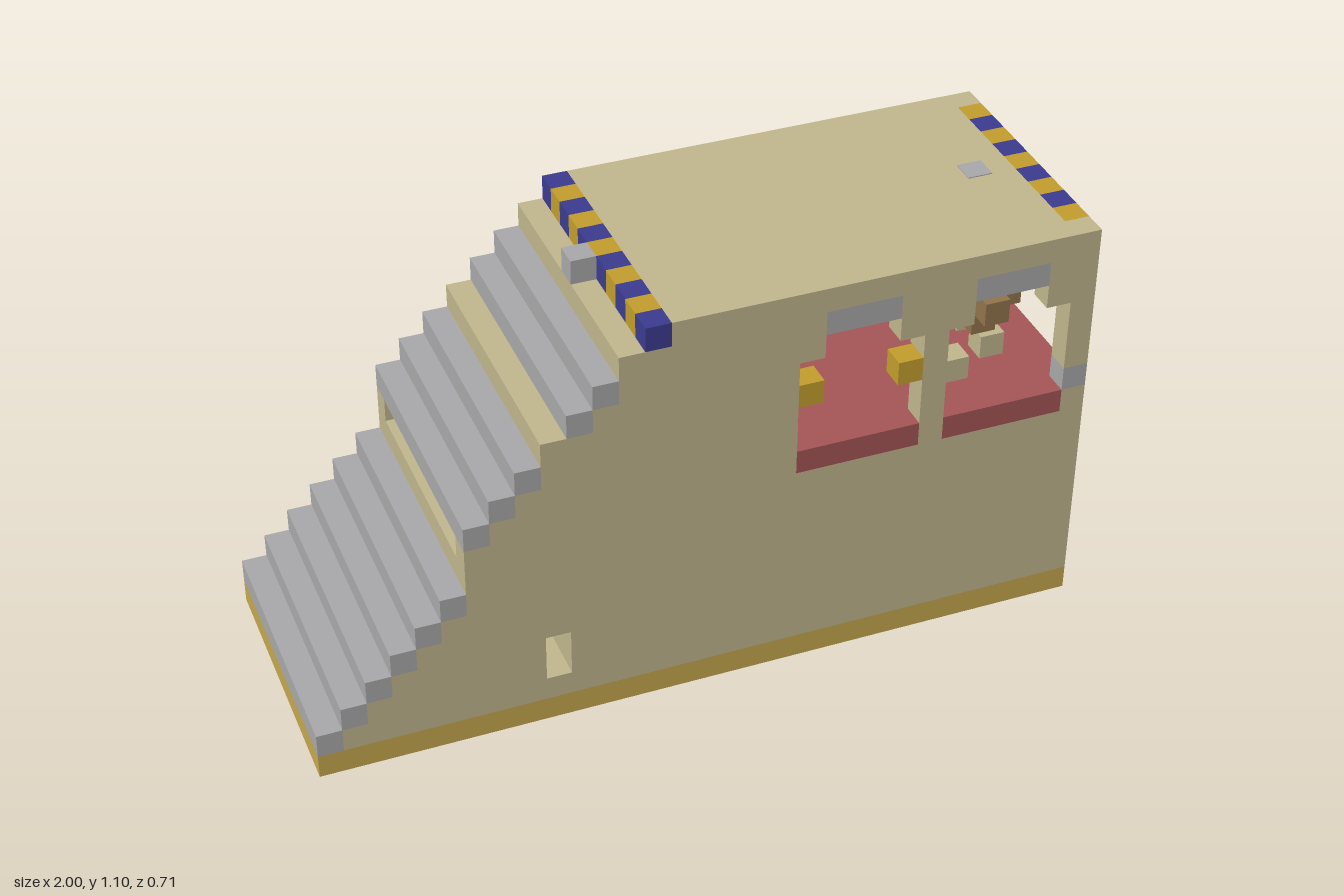
import * as THREE from 'three';

const U = 2 / 31; // one block of the 31 x 17 x 11 block grid

const mat = (name, color) => {
  const m = new THREE.MeshStandardMaterial({ color });
  m.name = name;
  return m;
};

export function createModel() {
  const model = new THREE.Group();
  model.name = 'steppedBuilding';

  const tan = mat('tan', 0xbeb48b);
  const sand = mat('sandYellow', 0xc2a54c);
  const gray = mat('gray', 0xa6a6a8);
  const gold = mat('gold', 0xc09c2c);
  const blue = mat('blue', 0x3b3a8e);
  const brown = mat('brown', 0x90724a);
  const rose = mat('dullRed', 0xa35454);
  const red = mat('brightRed', 0xab1d0e);
  const charcoal = mat('charcoal', 0x43424e);

  // Box spanning grid cells [i0,i1) x [j0,j1) x [k0,k1)
  const box = (name, m, i0, i1, j0, j1, k0 = 0, k1 = 11) => {
    const mesh = new THREE.Mesh(
      new THREE.BoxGeometry((i1 - i0) * U, (j1 - j0) * U, (k1 - k0) * U), m);
    mesh.position.set(-1 + (i0 + i1) / 2 * U, (j0 + j1) / 2 * U, ((k0 + k1) / 2 - 5.5) * U);
    mesh.name = name;
    model.add(mesh);
    return mesh;
  };
  const cell = (name, m, i, j, k) => box(name, m, i, i + 1, j, j + 1, k, k + 1);
  // Same box on the back and front wall layers
  const both = (name, m, i0, i1, j0, j1) => {
    box(name, m, i0, i1, j0, j1, 0, 1);
    box(name, m, i0, i1, j0, j1, 10, 11);
  };

  // Base course
  box('base', sand, 0, 31, 0, 1);

  // Staircase: a column of wall under each tread
  const treads = [1, 2, 3, 4, 5, 6, 9, 10, 11, 12, 13, 14, 15];
  treads.forEach((h, i) => {
    if (i === 9) { // low passage through the building
      box('stairWall', tan, i, i + 1, 1, 2);
      box('stairWall', tan, i, i + 1, 4, h);
    } else if (i === 6 || i === 7) { // slit in the riser
      box('stairWall', tan, i, i + 1, 1, 8);
      both('slitSide', tan, i, i + 1, 8, 9);
      if (h > 9) box('stairWall', tan, i, i + 1, 9, h);
    } else if (h > 1) {
      box('stairWall', tan, i, i + 1, 1, h);
    }
    box('tread', i === 9 || i === 12 ? tan : gray, i, i + 1, h, h + 1);
  });
  cell('topKnob', gray, 12, 16, 5);

  // Solid middle and striped parapet at the stair head
  box('middle', tan, 13, 14, 1, 16);
  box('middle', tan, 14, 16, 1, 16);
  for (let k = 0; k < 11; k++) cell('stairStripe', k % 2 ? gold : blue, 13, 16, k);

  // Raised nook beside the room
  box('nookFloor', tan, 16, 19, 1, 12);
  both('nookWall', tan, 16, 19, 12, 16);

  // Wall below the room, with a red band on the end
  box('lowerWall', tan, 19, 30, 1, 9);
  box('endWall', tan, 30, 31, 1, 8);
  both('endWallSide', tan, 30, 31, 8, 9);
  box('endBand', red, 30, 31, 8, 9, 1, 10);

  // Room floor and window sills
  box('roomFloor', rose, 19, 31, 9, 10, 1, 10);
  for (const i of [19, 25]) both('windowSill', rose, i, i + 5, 9, 10);

  // Wall posts
  both('windowPost', tan, 24, 25, 9, 16);
  both('cornerPost', tan, 30, 31, 9, 10);
  both('cornerPost', tan, 30, 31, 11, 16);
  cell('cornerPost', tan, 30, 10, 0);
  cell('cornerBlock', gray, 30, 10, 10);

  // Window heads with stepped corners and gray lintels
  for (const i of [19, 25]) {
    both('windowCorner', tan, i, i + 1, 14, 16);
    both('windowCorner', tan, i + 4, i + 5, 14, 16);
    both('lintel', gray, i + 1, i + 4, 15, 16);
  }
  // Opening in the end wall
  for (const k of [1, 9]) box('endCorner', tan, 30, 31, 14, 16, k, k + 1);
  box('endLintel', gray, 30, 31, 15, 16, 2, 9);

  // Ceiling, roof and striped end parapet
  box('ceiling', gray, 16, 30, 15, 16, 1, 10);
  box('roof', tan, 14, 30, 16, 17);
  both('roofCorner', tan, 30, 31, 16, 17);
  for (let k = 1; k < 10; k++) cell('endStripe', k % 2 ? gold : blue, 30, 16, k);
  box('roofPatch', gray, 28, 29, 17, 17.04, 5, 6);

  // Gold lamps in the first window
  for (const i of [19, 23]) both('windowLamp', gold, i, i + 1, 12, 13);

  // Hanging beam with two cross-shaped brackets
  box('beam', brown, 27, 28, 12, 13, 2, 9);
  for (const k of [2, 8]) {
    box('bracketLong', brown, 26, 29, 13, 14, k, k + 1);
    cell('bracketArm', brown, 27, 13, k - 1);
    cell('bracketArm', brown, 27, 13, k + 1);
    cell('hanger', charcoal, 27, 14, k);
  }

  // Staggered seats
  for (let k = 2; k < 9; k++) cell('seat', tan, k % 2 ? 28 : 26, 10, k);

  return model;
}
